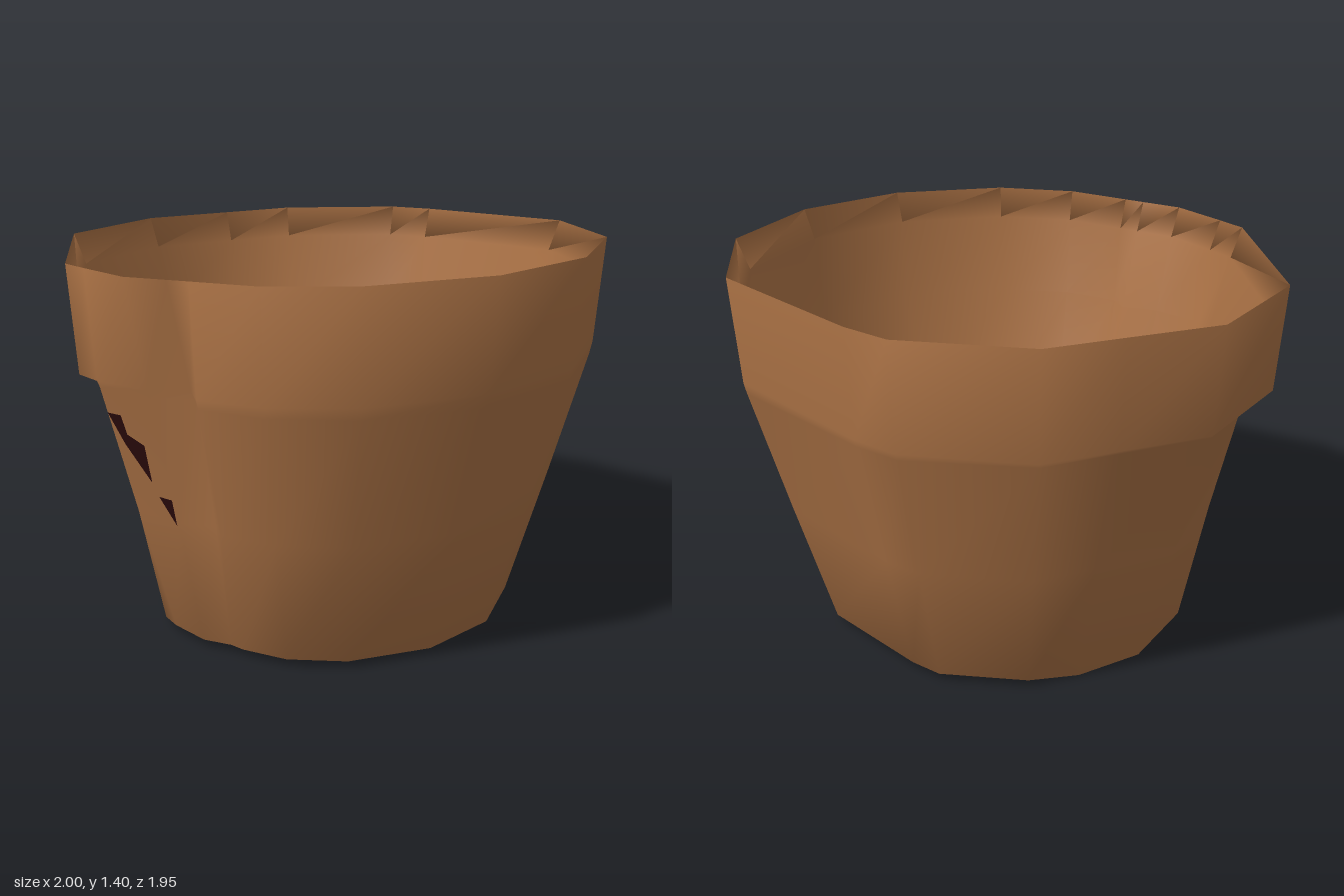
import * as THREE from 'three';

// Rim outline running from the back over the left side to the front:
// x, z and how far the wall below is pushed in
const RIM = [
  [-0.29, -0.98, 0], [-0.11, -0.98, 0], [0.54, -0.87, 0], [0.88, -0.52, 0],
  [1.0, -0.05, 0], [0.91, 0.40, 0], [0.64, 0.76, 0], [0.37, 0.91, 0],
  [0.12, 0.94, 0], [0.04, 0.95, 0.10], [-0.12, 0.97, 0.06], [-0.35, 0.90, 0],
  [-0.47, 0.86, 0.07], [-0.96, 0.30, 0.08], [-1.0, -0.20, 0],
  [-0.83, -0.50, 0], [-0.69, -0.75, 0],
];
const STEP = [12, 13];   // columns where the rim band keeps an overhanging lip
const LOW = 15;          // column where the base sags to the ground

// Rows of the closed section: scale of outline, height, share of the push
const HOLE_UNDER = 0, FOOT = 2, BAND = 5, RIM_INNER = 7, HOLE_TOP = 11;
const ROWS = [
  [0.11, 0.05, 0],
  [0.56, 0.065, 0],
  [0.69, 0.028, 0.15],
  [0.828, 0.50, 0.7],
  [0.96, 0.97, 1],
  [0.97, 1.00, 0.9],
  [1.00, 1.385, 0],
  [0.955, 1.27, 0],
  [0.92, 0.97, 0.7],
  [0.775, 0.50, 0.5],
  [0.655, 0.12, 0.1],
  [0.11, 0.085, 0],
];

// Scale that brings an outline point onto the tilted square drain hole
function holeScale(x, z) {
  return 0.09 / Math.max(Math.abs(0.94 * x + 0.35 * z), Math.abs(0.94 * z - 0.35 * x));
}

function potGeometry() {
  const n = RIM.length, m = ROWS.length, pos = [], index = [];
  ROWS.forEach(([scale, height, share], r) => {
    RIM.forEach(([x, z, push], c) => {
      const lip = r === BAND && STEP.includes(c);
      const hole = r === HOLE_UNDER || r === HOLE_TOP;
      const s = hole ? holeScale(x, z) : scale - (lip ? 0 : share * push);
      const tilt = r >= BAND && r <= RIM_INNER ? 0.02 * x : 0;
      pos.push(x * s, r === FOOT && c === LOW ? 0 : height + tilt, z * s);
    });
  });
  for (let r = 0; r < m; r++) {
    for (let c = 0; c < n; c++) {
      const a = r * n + c, b = r * n + (c + 1) % n;
      const d = ((r + 1) % m) * n + c, e = ((r + 1) % m) * n + (c + 1) % n;
      index.push(a, d, b, b, d, e);
    }
  }
  const geometry = new THREE.BufferGeometry();
  geometry.setAttribute('position', new THREE.Float32BufferAttribute(pos, 3));
  geometry.setIndex(index);
  geometry.computeVertexNormals();
  return geometry;
}

export function createModel() {
  const clay = new THREE.MeshStandardMaterial({ color: 0xab7245 });
  const chip = new THREE.MeshStandardMaterial({ color: 0x2a0a0c, side: THREE.DoubleSide });
  const model = new THREE.Group();
  model.name = 'flowerPot';

  const pot = new THREE.Mesh(potGeometry(), clay);
  pot.name = 'pot';
  model.add(pot);
  pot.updateMatrixWorld(true);

  // Thin dark chip laid on the surface; toSpace turns outline points into ray origins
  const ray = new THREE.Raycaster();
  function addChip(name, outline, toSpace, direction) {
    const geometry = new THREE.ShapeGeometry(new THREE.Shape(outline.map(p => new THREE.Vector2(...p))));
    const p = geometry.attributes.position;
    for (let i = 0; i < p.count; i++) {
      ray.set(toSpace(p.getX(i), p.getY(i)), direction);
      const q = ray.intersectObject(pot)[0].point.addScaledVector(direction, -0.007);
      p.setXYZ(i, q.x, q.y, q.z);
    }
    geometry.computeVertexNormals();
    const mesh = new THREE.Mesh(geometry, chip);
    mesh.name = name;
    model.add(mesh);
  }

  // Chips in the front dent, outlines in x, y
  const front = [
    [[-0.32, 0.88], [-0.26, 0.88], [-0.25, 0.81], [-0.18, 0.78], [-0.18, 0.64], [-0.27, 0.77]],
    [[-0.16, 0.59], [-0.10, 0.59], [-0.10, 0.49]],
  ];
  for (const o of front)
    addChip('frontChip', o, (x, y) => new THREE.Vector3(x, y, 2), new THREE.Vector3(0, 0, -1));

  // Chips in the floor, outlines in x, z
  const floor = [
    [[0.15, -0.08], [0.25, -0.08], [0.26, -0.04], [0.21, -0.04]],
    [[0.32, -0.07], [0.48, -0.06], [0.44, 0.0], [0.38, -0.03]],
    [[0.06, 0.20], [0.10, 0.20], [0.11, 0.35], [0.08, 0.40], [0.07, 0.50], [0.04, 0.51], [0.05, 0.36]],
    [[-0.11, -0.13], [-0.115, -0.04], [-0.13, -0.04]],
  ];
  for (const o of floor)
    addChip('floorChip', o, (x, z) => new THREE.Vector3(x, 2, z), new THREE.Vector3(0, -1, 0));

  return model;
}
